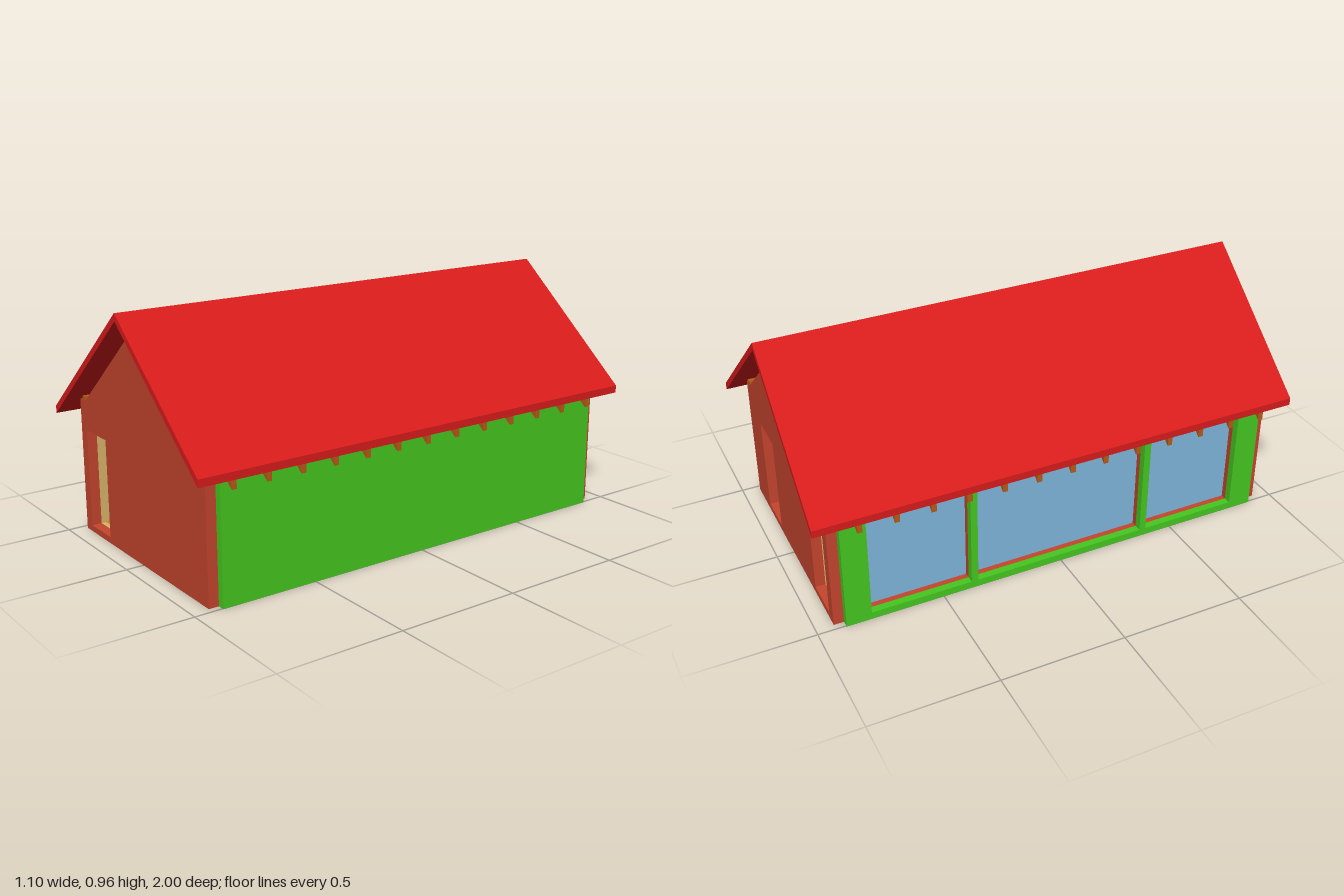
import * as THREE from 'three';

const mat = (color) => new THREE.MeshStandardMaterial({ color, flatShading: true });
const brick = mat(0xc5452e), green = mat(0x46c820), red = mat(0xd81c1c);
const timber = mat(0xb85a18), floorWood = mat(0xd87820), tan = mat(0xd8b46a);
const glass = mat(0x7fb6dc), blue = mat(0x1848b0), grey = mat(0xcccccc);

const SLOPE = 0.836, RIDGE = 0.965, ROOF = 0.03, EAVE = 0.55;
const rect = (x0, x1, y0, y1) => [[x0, y0], [x1, y0], [x1, y1], [x0, y1]];

// Flat panel with rectangular openings, extruded along +z
function panelGeometry(outline, holes, depth) {
  const shape = new THREE.Shape(outline.map(([x, y]) => new THREE.Vector2(x, y)));
  for (const h of holes) {
    shape.holes.push(new THREE.Path(rect(...h).map(([x, y]) => new THREE.Vector2(x, y))));
  }
  return new THREE.ExtrudeGeometry(shape, { depth, bevelEnabled: false });
}

export function createModel() {
  const model = new THREE.Group();
  model.name = 'house';

  const add = (name, geometry, material) => {
    const mesh = new THREE.Mesh(geometry, material);
    mesh.name = name;
    model.add(mesh);
    return mesh;
  };
  const box = (name, material, x0, x1, y0, y1, z0, z1) =>
    add(name, new THREE.BoxGeometry(x1 - x0, y1 - y0, z1 - z0), material)
      .position.set((x0 + x1) / 2, (y0 + y1) / 2, (z0 + z1) / 2);

  // Gable walls with inner lining
  const gable = [[-0.475, 0], [0.475, 0], [0.475, 0.538], [0.43, 0.54],
    [0, 0.9], [-0.43, 0.54], [-0.475, 0.538]];
  const door = [-0.43, -0.27, 0.025, 0.42];
  const backDoor = [0.16, 0.32, 0.025, 0.42];
  for (const [side, sign, holes] of [['front', 1, [door]], ['back', -1, [door, backDoor]]]) {
    add(side + 'Gable', panelGeometry(gable, holes, 0.04), brick)
      .position.z = sign > 0 ? 0.89 : -0.93;
    // the lining stands on the ground, so the opening stays a closed hole
    add(side + 'GableLining', panelGeometry(rect(-0.449, 0.449, 0.002, 0.52), holes, 0.02), tan)
      .position.z = sign > 0 ? 0.87 : -0.89;
  }

  // Long walls: cladding, brick and lining; the left-hand loop entry has windows
  const windows = [[-0.79, -0.385], [-0.357, 0.357], [0.385, 0.79]]
    .map(([a, b]) => [a, b, 0.03, 0.45]);
  const layers = [
    ['Cladding', green, 0.475, 0.505, 0.538],
    ['Brick', brick, 0.45, 0.475, 0.538],
    ['Lining', tan, 0.435, 0.45, 0.52],
  ];
  for (const [side, sign, holes] of [['left', 1, []], ['right', -1, windows]]) {
    for (const [layer, material, inner, outer, top] of layers) {
      const g = panelGeometry(rect(-0.89, 0.89, 0, top), holes, outer - inner);
      g.rotateY(Math.PI / 2);
      g.translate(sign > 0 ? inner : -outer, 0, 0);
      // slope the outer top edge to meet the roof
      const p = g.attributes.position;
      for (let i = 0; i < p.count; i++) {
        if (Math.abs(p.getX(i)) > 0.5 && p.getY(i) > 0.5) p.setY(i, 0.513);
      }
      g.computeVertexNormals();
      add(side + 'Wall' + layer, g, material);
    }
  }
  for (const [z0, z1, y0, y1] of windows) {
    box('windowPane', glass, -0.452, -0.447, y0, y1, z0, z1);
  }

  // Floor, ceiling and inner partition
  box('floor', floorWood, -0.45, 0.45, 0.001, 0.025, -0.89, 0.89);
  box('ceiling', grey, -0.45, 0.45, 0.52, 0.535, -0.89, 0.89);
  box('partition', blue, 0.09, 0.11, 0.025, 0.52, -0.87, -0.45);

  // Roof and rafters share one inverted-V cross-section
  const chevron = (top, thick) => [
    [-EAVE, top - SLOPE * EAVE], [-EAVE, top - SLOPE * EAVE - thick], [0, top - thick],
    [EAVE, top - SLOPE * EAVE - thick], [EAVE, top - SLOPE * EAVE], [0, top]];
  add('roof', panelGeometry(chevron(RIDGE, ROOF), [], 2), red).position.z = -1;
  const rafter = panelGeometry(chevron(RIDGE - ROOF, 0.033), [], 0.02);
  for (let i = 0; i < 13; i++) {
    add('rafter', rafter, timber).position.z = 0.852 - i * 0.1408;
  }

  // Wall plates under the rafters
  for (const s of [-1, 1]) {
    box('wallPlate', timber, s * 0.443 - 0.012, s * 0.443 + 0.012, 0.538, 0.556, -0.93, 0.93);
  }
  return model;
}
